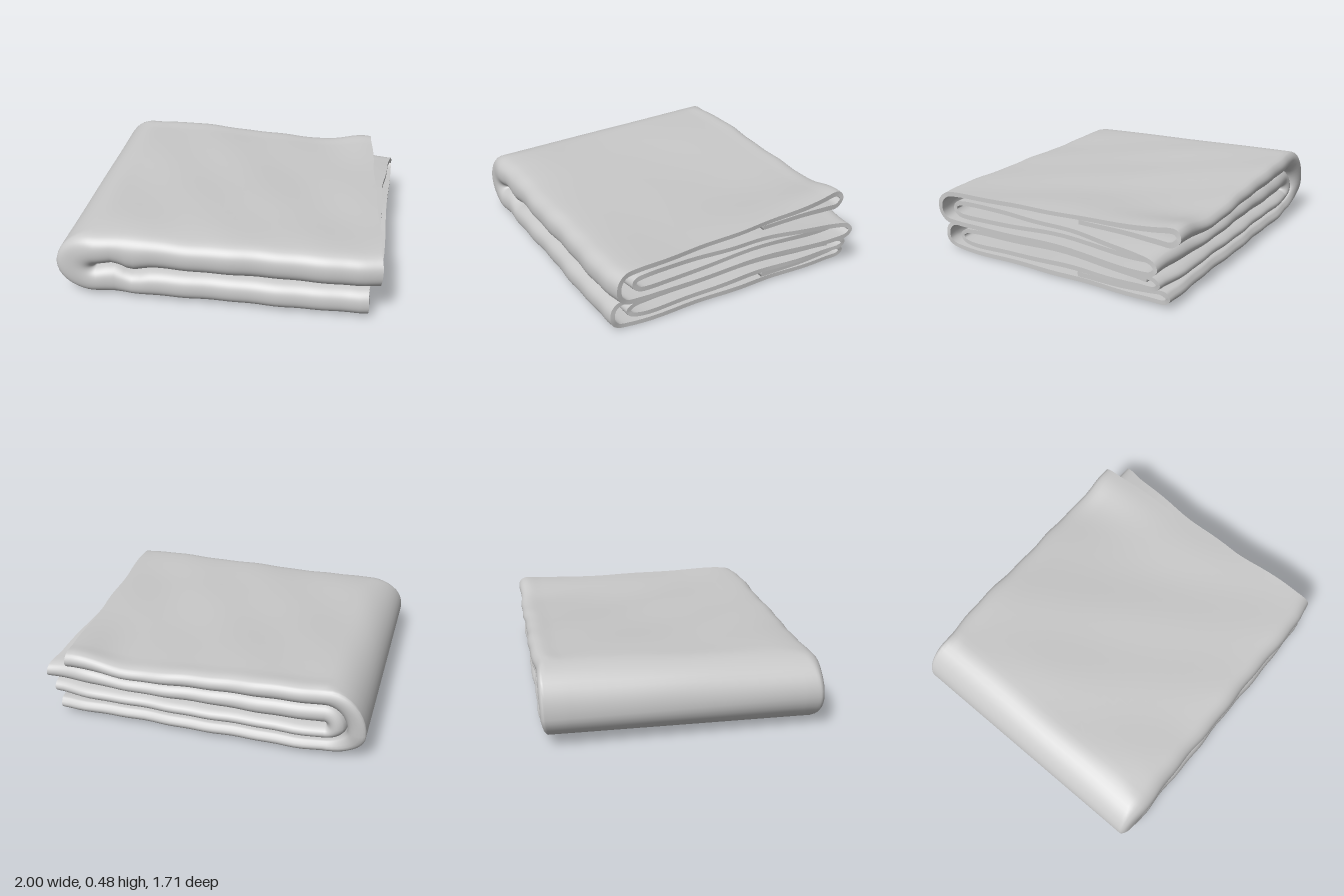
import * as THREE from 'three';

const MID = 0.205, BEND_X = -0.75, BEND_STRETCH = 1.22, THICK = 0.028, STEPS = 5;
const smooth = (x, a, b) => THREE.MathUtils.smoothstep(x, a, b);
const bump = (x, c, w) => Math.exp(-(((x - c) / w) ** 2));

// Cloth cross-section as [z, distance from the middle crease]: one long spiral
const SPIRAL = [
  // hem tucked under the outer sheet
  [-0.2, 0.161], [-0.5, 0.153],
  // rolled back edge and outer sheet
  [-0.7, 0.134], [-0.795, 0.128], [-0.834, 0.158], [-0.81, 0.188], [-0.68, 0.191],
  [-0.3, 0.191], [0, 0.191], [0.35, 0.191], [0.7, 0.19], [0.785, 0.176],
  // front fold
  [0.82, 0.145], [0.829, 0.105], [0.82, 0.06], [0.785, 0.027], [0.7, 0.016],
  // sheet along the crease
  [0.35, 0.015], [0, 0.015], [-0.35, 0.015], [-0.68, 0.016],
  // back fold
  [-0.775, 0.027], [-0.805, 0.055], [-0.78, 0.085], [-0.65, 0.1],
  // inner sheet and its front fold
  [-0.3, 0.12], [0, 0.128], [0.35, 0.142], [0.63, 0.144], [0.705, 0.125], [0.715, 0.095],
  [0.68, 0.068], [0.6, 0.058], [0.3, 0.056], [0, 0.056], [-0.35, 0.056], [-0.6, 0.056], [-0.7, 0.062],
];

// Thick outline of the spiral: outer side forwards, then inner side backwards
function clothOutline() {
  const curve = new THREE.CatmullRomCurve3(SPIRAL.map(([z, t]) => new THREE.Vector3(z, t, 0)));
  const n = (SPIRAL.length - 1) * STEPS;
  const outer = [], inner = [];
  for (let i = 0; i <= n; i++) {
    const p = curve.getPoint(i / n), d = curve.getTangent(i / n);
    const side = (k) => ({ z: p.x - d.y * k, t: p.y + d.x * k, u: i / STEPS });
    outer.push(side(THICK / 2));
    inner.push(side(-THICK / 2));
  }
  return [...outer, ...inner.reverse()];
}

// Where the cloth stops on the open side, for the upper and lower half
function openEnd(z, u, upper) {
  const f = THREE.MathUtils.clamp((0.84 - z) / 1.68, 0, 1);
  const middle = smooth(u, 11, 16), core = smooth(u, 23, 26);
  const ends = upper
    ? [0.95 - 0.115 * f, 0.945 + 0.048 * f, 0.935 - 0.01 * f]
    : [0.885 + 0.015 * f, 0.88 + 0.07 * f, 0.875 + 0.045 * f];
  const a = THREE.MathUtils.lerp(ends[0], ends[1], middle);
  return THREE.MathUtils.lerp(a, ends[2], core) + 0.005 * Math.sin(9 * z + u);
}

// Position of a cross-section point at row s: 0..1 lower half, 1..2 bend, 2..3 upper half
function place({ z, t, u }, s) {
  const f = THREE.MathUtils.clamp((0.84 - z) / 1.68, 0, 1);
  const edge = smooth(Math.abs(z), 0.6, 0.83);
  let x, lift, d = t;
  if (s > 1 && s < 2) {
    const angle = (s - 1.5) * Math.PI;
    // corners of the bend are squarer
    d = Math.min(0.205, t + 0.022 * Math.cos(angle) * edge * smooth(t, 0.12, 0.17));
    x = BEND_X - BEND_STRETCH * d * Math.cos(angle);
    lift = Math.sin(angle);
  } else {
    const upper = s >= 2;
    x = THREE.MathUtils.lerp(BEND_X, openEnd(z, u, upper), upper ? s - 2 : 1 - s);
    lift = upper ? 1 : -1;
  }
  const nearBend = smooth(-x, 0.5, 0.95);
  // the upper half is fuller towards the back and the bend
  const full = 1 + f * 0.33 * (1 - smooth(x, -0.6, 0.5)) + 0.2 * f ** 3 * bump(x, 0.78, 0.18);
  const wave = 0.02 * Math.sin(5 * x + 3 * z) * Math.sin(4 * z - 2 * x + 1) + 0.012 * Math.sin(11 * x - 7 * z);
  let y = MID + d * lift * (lift > 0 ? full + wave : 1 - (0.09 + 0.06 * nearBend) * f);
  // crumpled crease at the front near the bend
  const inward = 1 - t / 0.21;
  const front = smooth(z, 0.45, 0.8) * inward;
  y += front * (0.02 * bump(x, -0.65, 0.06) - 0.025 * bump(x, -0.53, 0.07) - 0.012);
  // crease and inner layers arch up near the middle of the open side
  const arch = 0.022 * inward + 0.02 * smooth(u, 31, 33);
  y += arch * bump(z, -0.12, 0.32) * smooth(x, -0.2, 0.8);
  // slanted, wavy long edges, drawn in towards the open side and the bend
  const open = smooth(x, 0.6, 1);
  const backFold = 0.035 * open * smooth(u, 16, 20) + 0.018 * nearBend + 0.025 * smooth(-lift, 0, 1) * smooth(t, 0.1, 0.14);
  const zz = z - 0.008 * (x - 0.1) * f + backFold * f ** 4
    - 0.02 * smooth(x, 0.8, 0.95) * smooth(z, 0.5, 0.83)
    + 0.008 * nearBend * smooth(z, 0.5, 0.83)
    + edge * (0.004 * Math.sin(9 * x + 2 * lift) + 0.003 * Math.sin(23 * x));
  return [x, Math.max(0, y), zz];
}

// Sweep of the outline round the bend, with flat ends
function clothGeometry() {
  const outline = clothOutline(), m = outline.length;
  const rows = [];
  for (let i = 0; i <= 30; i++) rows.push(i / 30);
  for (let i = 1; i < 20; i++) rows.push(1 + i / 20);
  for (let i = 0; i <= 36; i++) rows.push(2 + i / 36);
  const pos = [], index = [];
  const addRow = (s) => outline.forEach((p) => pos.push(...place(p, s)));
  rows.forEach(addRow);
  for (let i = 0; i < rows.length - 1; i++) {
    for (let j = 0; j < m; j++) {
      const a = i * m + j, b = i * m + (j + 1) % m;
      index.push(a, b, a + m, b, b + m, a + m);
    }
  }
  // cut ends of the cloth, with their own vertices for a crisp edge
  [0, 3].forEach((s) => {
    const base = pos.length / 3;
    addRow(s);
    for (let j = 0; j < m / 2 - 1; j++) {
      const l = base + j, l2 = l + 1, r = base + m - 1 - j, r2 = r - 1;
      if (s === 3) index.push(r, l, r2, l, l2, r2);
      else index.push(r, r2, l, l, r2, l2);
    }
  });
  const geometry = new THREE.BufferGeometry();
  geometry.setAttribute('position', new THREE.Float32BufferAttribute(pos, 3));
  geometry.setIndex(index);
  geometry.computeVertexNormals();
  return geometry;
}

export function createModel() {
  const group = new THREE.Group();
  group.name = 'foldedBlanket';
  const fabric = new THREE.MeshStandardMaterial({ color: 0xc8c8c8, side: THREE.DoubleSide });
  fabric.name = 'light grey fabric';
  const cloth = new THREE.Mesh(clothGeometry(), fabric);
  cloth.name = 'foldedCloth';
  group.add(cloth);
  return group;
}
